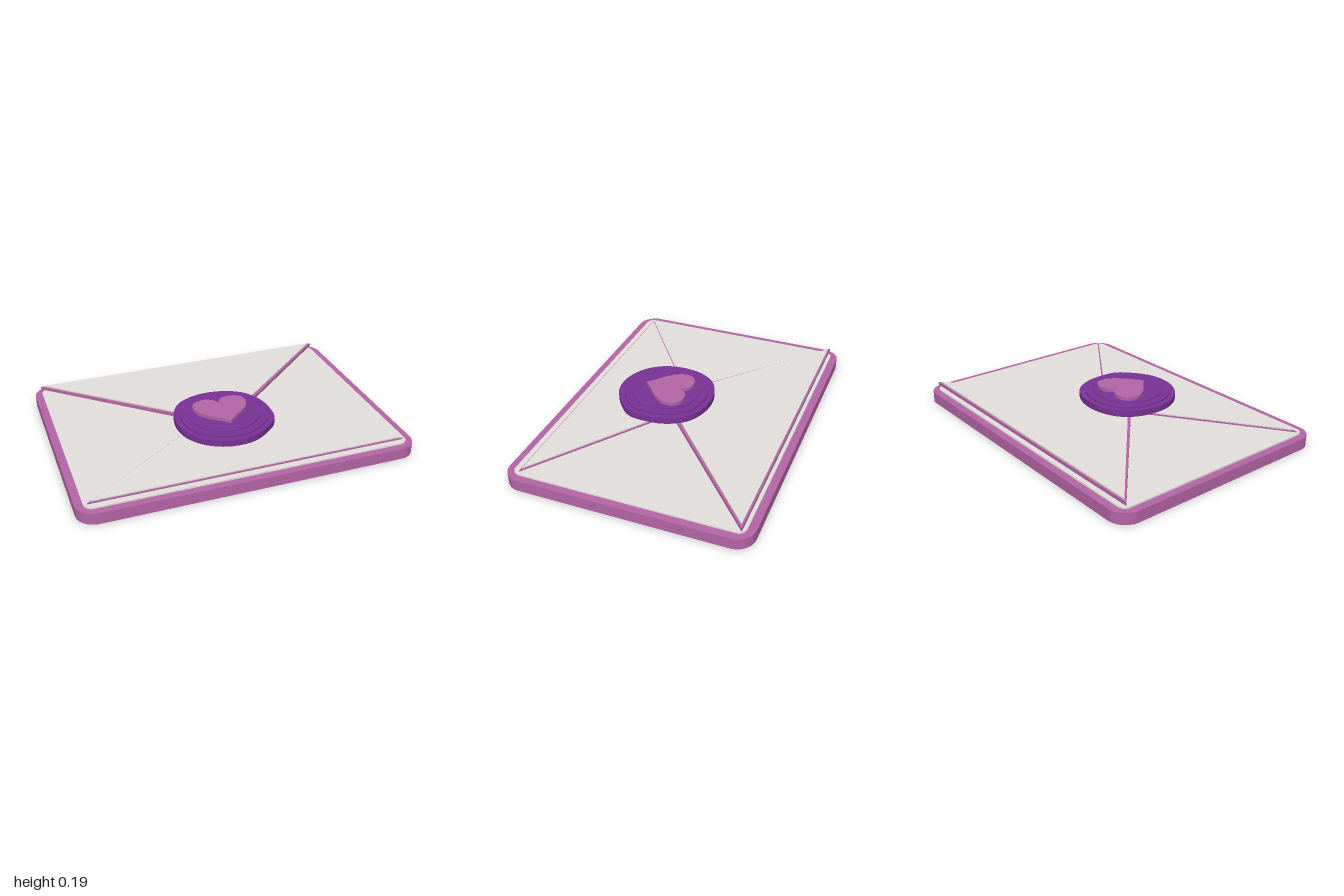
import * as THREE from 'three';

const orchid = new THREE.MeshStandardMaterial({ name: 'orchid', color: 0xb565a7 });
const paper = new THREE.MeshStandardMaterial({ name: 'paper', color: 0xe5e0de });
const wax = new THREE.MeshStandardMaterial({ name: 'waxPurple', color: 0x7a3296 });

// Flat plate lying between two heights; shapes are drawn in x and -z
function plate(name, shape, y0, y1, material) {
  const geometry = new THREE.ExtrudeGeometry(shape, {
    depth: y1 - y0, bevelEnabled: false, curveSegments: 10,
  });
  geometry.rotateX(-Math.PI / 2);
  geometry.translate(0, y0, 0);
  const mesh = new THREE.Mesh(geometry, material);
  mesh.name = name;
  return mesh;
}

function roundedRect(w, d, r) {
  const s = new THREE.Shape();
  s.absarc(w - r, d - r, r, 0, Math.PI / 2);
  s.absarc(-w + r, d - r, r, Math.PI / 2, Math.PI);
  s.absarc(-w + r, -d + r, r, Math.PI, Math.PI * 1.5);
  s.absarc(w - r, -d + r, r, Math.PI * 1.5, Math.PI * 2);
  s.closePath();
  return s;
}

// Triangle with its long edge at zBase and its point at zTip
function triangle(halfWidth, zBase, zTip) {
  return new THREE.Shape([
    new THREE.Vector2(-halfWidth, -zBase),
    new THREE.Vector2(halfWidth, -zBase),
    new THREE.Vector2(0, -zTip),
  ]);
}

// Slightly uneven wax outline around the seal centre
const sealZ = 0.147;
const sealPoints = [
  [0.292, 0.02], [0.275, 0.13], [0.195, 0.215], [0.09, 0.278], [-0.01, 0.29],
  [-0.105, 0.272], [-0.205, 0.21], [-0.27, 0.115], [-0.292, 0], [-0.27, -0.13],
  [-0.205, -0.225], [-0.1, -0.278], [0.01, -0.29], [0.12, -0.268], [0.215, -0.21], [0.277, -0.1],
];
function sealShape(scale) {
  const curve = new THREE.CatmullRomCurve3(
    sealPoints.map(([x, z]) => new THREE.Vector3(x * scale, -(sealZ + z * scale), 0)), true);
  return new THREE.Shape(curve.getPoints(64).slice(0, -1).map(p => new THREE.Vector2(p.x, p.y)));
}

function heartShape() {
  const s = new THREE.Shape();
  s.moveTo(0, -0.28);
  s.bezierCurveTo(0.04, -0.225, 0.165, -0.17, 0.167, -0.075);
  s.bezierCurveTo(0.167, 0.02, 0.02, 0.03, 0, -0.06);
  s.bezierCurveTo(-0.02, 0.03, -0.167, 0.02, -0.167, -0.075);
  s.bezierCurveTo(-0.165, -0.17, -0.04, -0.225, 0, -0.28);
  return s;
}

export function createModel() {
  const group = new THREE.Group();
  group.name = 'sealedEnvelope';
  group.add(
    // Body
    plate('body', roundedRect(1, 0.72, 0.11), 0, 0.068, orchid),
    plate('bodyPaper', roundedRect(0.955, 0.675, 0.05), 0.068, 0.077, paper),
    // Lower flap
    plate('lowerFlapEdge', triangle(0.935, 0.637, -0.028), 0.077, 0.084, orchid),
    plate('lowerFlapPaper', triangle(0.912, 0.629, -0.017), 0.084, 0.091, paper),
    // Upper flap, resting above the lower one
    plate('upperFlapEdge', triangle(0.957, -0.658, 0.18), 0.091, 0.109, orchid),
    plate('upperFlapPaper', triangle(0.93, -0.648, 0.155), 0.109, 0.118, paper),
    // Stepped wax seal with a heart
    plate('sealBase', sealShape(1), 0.118, 0.156, wax),
    plate('sealRim', sealShape(0.885), 0.156, 0.166, wax),
    plate('sealCentre', sealShape(0.72), 0.166, 0.172, wax),
    plate('heart', heartShape(), 0.172, 0.193, orchid),
  );
  return group;
}
